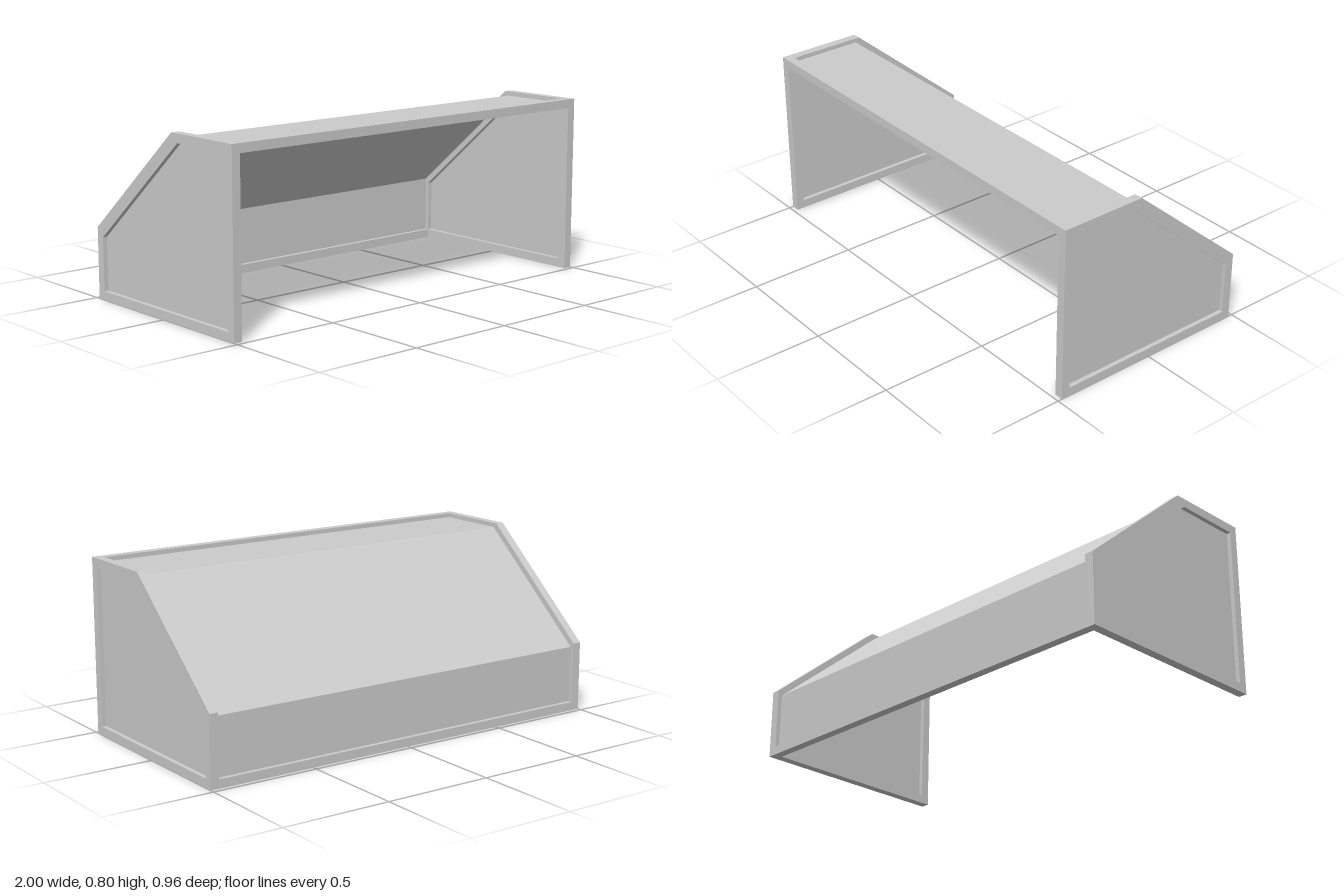
import * as THREE from 'three';

const T = 0.04; // bar thickness

const solid = new THREE.MeshStandardMaterial({ color: 0xcccccc, flatShading: true });
const sheet = new THREE.MeshStandardMaterial({ color: 0xcccccc, flatShading: true, side: THREE.DoubleSide });

// Side profile as (z, y) points, moved inward by d
const profile = (d) => [
  [-0.48 + d, d], [0.48 - d, d], [0.48 - d, 0.8 - d], [0.08 + d, 0.8 - d], [-0.48 + d, 0.32 - d],
].map(([z, y]) => new THREE.Vector2(z, y));

function add(parent, name, geometry, material, x = 0, y = 0, z = 0) {
  const mesh = new THREE.Mesh(geometry, material);
  mesh.name = name;
  mesh.position.set(x, y, z);
  parent.add(mesh);
  return mesh;
}

// Thin sheet running across x along a chain of (z, y) points
function acrossSheet(points, halfWidth) {
  const pos = [];
  for (let i = 0; i < points.length - 1; i++) {
    const [z0, y0] = points[i], [z1, y1] = points[i + 1];
    const a = [-halfWidth, y0, z0], b = [halfWidth, y0, z0];
    const c = [halfWidth, y1, z1], d = [-halfWidth, y1, z1];
    pos.push(...a, ...b, ...c, ...a, ...c, ...d);
  }
  const g = new THREE.BufferGeometry();
  g.setAttribute('position', new THREE.Float32BufferAttribute(pos, 3));
  g.computeVertexNormals();
  return g;
}

export function createModel() {
  const model = new THREE.Group();
  model.name = 'slopedHood';

  // End frames, each with a thin panel set midway in its opening
  const frameShape = new THREE.Shape(profile(0));
  frameShape.holes.push(new THREE.Path(profile(T)));
  const frameGeo = new THREE.ExtrudeGeometry(frameShape, { depth: T, bevelEnabled: false });
  const panelGeo = new THREE.ShapeGeometry(new THREE.Shape(profile(T)));
  for (const [side, s] of [['left', 1], ['right', -1]]) {
    const end = new THREE.Group();
    end.name = side + 'End';
    add(end, side + 'Frame', frameGeo, solid, s * 0.98 + T / 2).rotation.y = -Math.PI / 2;
    add(end, side + 'Panel', panelGeo, sheet, s * 0.98).rotation.y = -Math.PI / 2;
    model.add(end);
  }

  // Long rails joining the ends: top front and bottom back
  const railGeo = new THREE.BoxGeometry(2 - 2 * T, T, T);
  add(model, 'topFrontRail', railGeo, solid, 0, 0.78, 0.46);
  add(model, 'bottomBackRail', railGeo, solid, 0, 0.02, -0.46);

  // Top, slope and back panels, midway in the frame thickness
  const chain = [[0.44, 0.78], [0.1, 0.78], [-0.46, 0.3], [-0.46, 0.04]];
  ['topPanel', 'slopePanel', 'backPanel'].forEach((name, i) =>
    add(model, name, acrossSheet(chain.slice(i, i + 2), 1 - T), sheet));

  return model;
}
